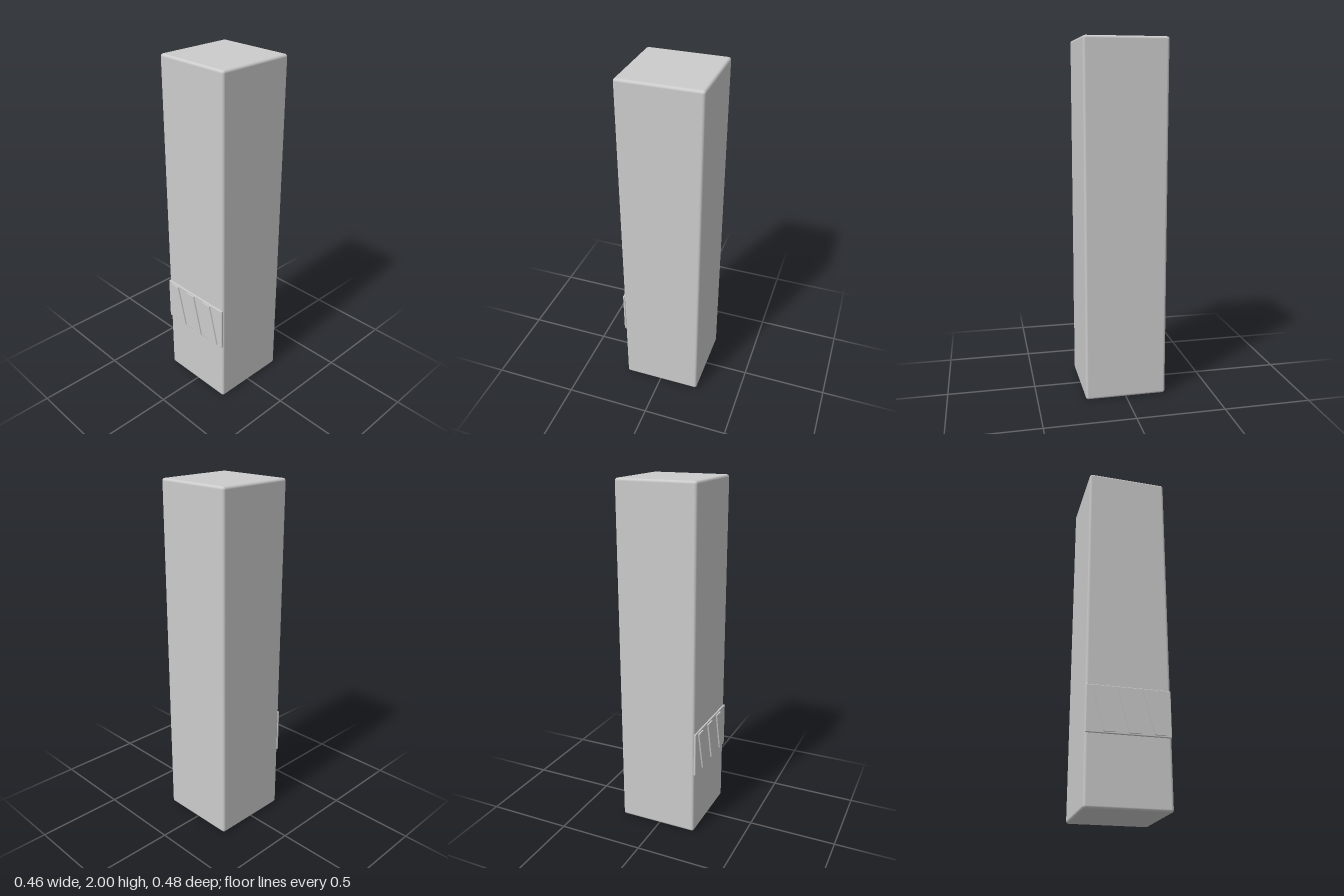
import * as THREE from 'three';
import { RoundedBoxGeometry } from 'three/addons/geometries/RoundedBoxGeometry.js';

export function createModel() {
  const model = new THREE.Group();
  model.name = 'pillar';
  const grey = new THREE.MeshStandardMaterial({ color: 0xcccccc });
  grey.name = 'light grey';

  function add(name, geometry, x, y, z) {
    const mesh = new THREE.Mesh(geometry, grey);
    mesh.name = name;
    mesh.position.set(x, y, z);
    model.add(mesh);
  }

  // Tall square column with small softened edges
  add('column', new RoundedBoxGeometry(0.462, 2, 0.462, 2, 0.015), 0, 1, -0.009);

  // Thin band across the lower front
  add('frontBand', new RoundedBoxGeometry(0.458, 0.258, 0.012, 2, 0.004), 0, 0.505, 0.225);

  // Three raised slanted bars on the band
  const bar = new THREE.Shape([
    new THREE.Vector2(-0.0615, 0.12),
    new THREE.Vector2(0, -0.12),
    new THREE.Vector2(0.0615, -0.12),
    new THREE.Vector2(0, 0.12),
  ]);
  const barGeometry = new THREE.ExtrudeGeometry(bar, { depth: 0.01, bevelEnabled: false });
  for (let i = -1; i <= 1; i++) {
    add('slantedBar', barGeometry, i * 0.1355 - 0.001, 0.505, 0.23);
  }
  return model;
}
